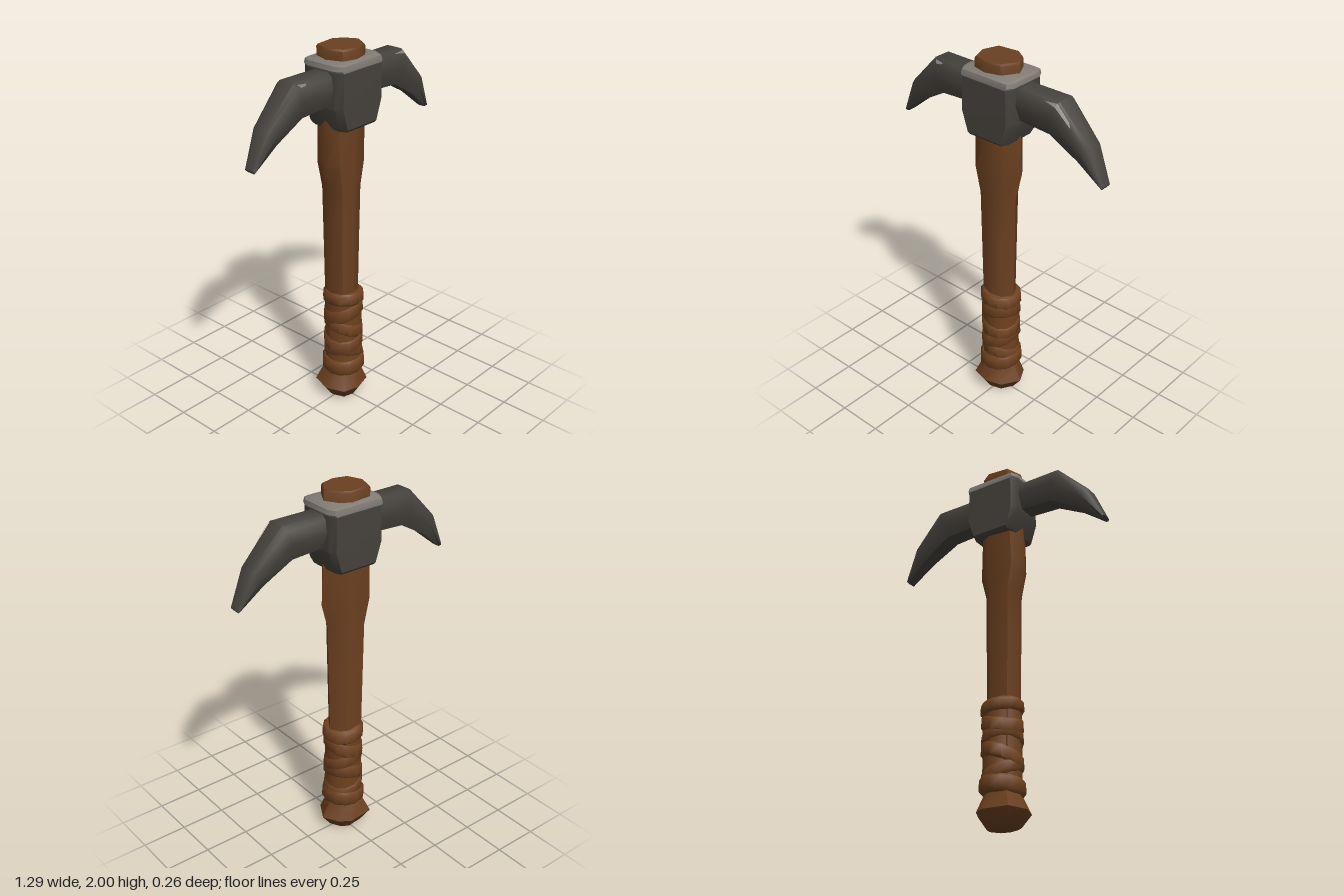
import * as THREE from 'three';
import { toCreasedNormals } from 'three/addons/utils/BufferGeometryUtils.js';

const mat = (name, color, side = THREE.FrontSide) => {
  const m = new THREE.MeshStandardMaterial({ color, side });
  m.name = name;
  return m;
};

// Skin a list of cross-sections (equal point counts) and cap both ends
function loft(rings, crease = 0.9) {
  const n = rings[0].length, pos = [], idx = [];
  rings.forEach(r => r.forEach(p => pos.push(p.x, p.y, p.z)));
  for (let k = 0; k < rings.length - 1; k++) {
    for (let i = 0; i < n; i++) {
      const j = (i + 1) % n, a = k * n, b = a + n;
      idx.push(a + i, a + j, b + j, a + i, b + j, b + i);
    }
  }
  const e = (rings.length - 1) * n;
  for (let i = 1; i < n - 1; i++) idx.push(0, i + 1, i, e, e + i, e + i + 1);
  const g = new THREE.BufferGeometry();
  g.setAttribute('position', new THREE.Float32BufferAttribute(pos, 3));
  g.setIndex(idx);
  return toCreasedNormals(g, crease);
}

// Horizontal ring: outline scaled by rx, rz, optionally tilted
const ring = (outline, y, rx, rz, tx = 0, tz = 0, cx = 0) =>
  outline.map(([x, z]) => new THREE.Vector3(cx + x * rx, y + x * tx + z * tz, z * rz));

// Outlines, running from +z towards +x
const CARVED = [[-0.1, 1], [0.6, 0.78], [1, 0], [0.68, -0.68], [0.25, -1], [-0.75, -0.87], [-1, 0], [-0.74, 0.8]];
const BLOCK = [[-0.87, 1], [0.87, 1], [1, 0.7], [1, -0.7], [0.87, -1], [-0.87, -1], [-1, -0.7], [-1, 0.7]];
const ROUND = Array.from({ length: 12 }, (_, i) => {
  const a = (i / 12) * Math.PI * 2;
  return [Math.sin(a), Math.cos(a)];
});

// Pick arm: [top x, top y, bottom x, bottom y, half thickness]
const ARM = [
  [0.1, 1.9, 0.1, 1.735, 0.078],
  [0.39, 1.9, 0.34, 1.722, 0.081],
  [0.565, 1.72, 0.5, 1.63, 0.062],
  [0.645, 1.54, 0.632, 1.522, 0.033],
];
const ARM_SECTION = [[1, 0.55], [0.88, 0.85], [0.5, 1], [0, 0.6], [0, -0.6], [0.5, -1], [0.88, -0.85], [1, -0.55]];
const armRing = ([xt, yt, xb, yb, hz]) => ARM_SECTION.map(([t, z]) =>
  new THREE.Vector3(xb + (xt - xb) * t, yb + (yt - yb) * t, z * hz));

export function createModel() {
  const model = new THREE.Group();
  model.name = 'pickaxe';
  const wood = mat('wood', 0x6b4020);
  const leather = mat('leather wrap', 0x6f421f);
  const iron = mat('dark iron', 0x46423d);
  const worn = mat('worn edge metal', 0x827c75, THREE.DoubleSide);
  const add = (name, geo, m, parent = model) => {
    const mesh = new THREE.Mesh(geo, m);
    mesh.name = name;
    parent.add(mesh);
    return mesh;
  };

  // Carved shaft, swelling below the head
  const shaft = [
    [0.14, 0.09, 0.08], [0.66, 0.092, 0.076], [1.0, 0.098, 0.08], [1.26, 0.102, 0.084],
    [1.4, 0.139, 0.09], [1.6, 0.131, 0.094], [1.9, 0.121, 0.102], [1.99, 0.121, 0.103], [2.0, 0.114, 0.098],
  ];
  add('shaft', loft(shaft.map(([y, rx, rz]) => ring(CARVED, y, rx, rz, 0, 0, -0.004))), wood);

  // Faceted pommel
  const pommel = [[0, 0.075, 0.062], [0.012, 0.092, 0.082], [0.08, 0.143, 0.126], [0.165, 0.1, 0.092]];
  add('pommel', loft(pommel.map(([y, rx, rz]) => ring(CARVED, y, rx, rz))), wood);

  // Grip: core and tilted straps [centre y, height, radius, tilt x, tilt z]
  const grip = new THREE.Group();
  grip.name = 'grip';
  model.add(grip);
  add('gripCore', loft([ring(ROUND, 0.18, 0.1, 0.1), ring(ROUND, 0.64, 0.1, 0.1)]), leather, grip);
  const straps = [
    [0.21, 0.085, 0.118, 0.008, -0.004], [0.285, 0.08, 0.108, -0.03, 0.02],
    [0.365, 0.085, 0.109, 0.03, -0.02], [0.45, 0.08, 0.108, -0.025, -0.025],
    [0.535, 0.09, 0.108, 0.025, 0.02], [0.62, 0.07, 0.112, -0.008, 0.005],
  ];
  straps.forEach(([y, h, r, tx, tz], i) => {
    const prof = [[-0.5, r - 0.012], [-0.32, r], [0.32, r - 0.002], [0.5, r - 0.012]];
    add('strap' + (i + 1), loft(prof.map(([t, q]) => ring(ROUND, y + t * h, q, q, tx, tz))), leather, grip);
  });

  // Head block with tapered lower cheeks
  const head = new THREE.Group();
  head.name = 'head';
  model.add(head);
  const block = [[1.6, 0.117, 0.115], [1.613, 0.122, 0.125], [1.72, 0.16, 0.127], [1.91, 0.156, 0.126]];
  add('headBlock', loft(block.map(([y, rx, rz]) => ring(BLOCK, y, rx, rz)), 0.5), iron, head);

  // Worn rim on top of the block
  const rim = [[1.902, 0.156, 0.127], [1.912, 0.163, 0.128], [1.935, 0.159, 0.123], [1.945, 0.148, 0.108]];
  add('headRim', loft(rim.map(([y, rx, rz]) => ring(BLOCK, y, rx, rz)), 0.6), worn, head);

  // Mirrored pick arms with worn patches on the upper front edge
  const rings = ARM.map(armRing);
  const lift = new THREE.Vector3(0, 0.002, 0.003);
  const edge = (k, t, s) => {
    const at = i => rings[k][i].clone().lerp(rings[k + 1][i], t);
    return at(0).lerp(at(1), s).add(lift);
  };
  const patches = {
    left: [[edge(0, 0.75, 0.6), edge(0, 1, 0.35)], [edge(0, 1, 1), edge(1, 0, 0.35)],
      [edge(1, 0.5, 0.95), edge(1, 0.4, 0.5)]],
    right: [[edge(0, 0.78, 0.6), edge(0, 0.82, 0.9)], [edge(0, 0.97, 0.35), edge(0, 0.93, 1)]],
  };
  for (const [side, s] of [['left', 1], ['right', -1]]) {
    const flip = v => new THREE.Vector3(v.x * s, v.y, v.z);
    const sided = rings.map(r => {
      const m = r.map(flip);
      return s < 0 ? m.reverse() : m;
    });
    add(side + 'Arm', loft(sided), iron, head);

    const pts = patches[side].flat().map(flip), idx = [];
    for (let i = 0; i + 3 < pts.length; i += 2) idx.push(i, i + 1, i + 2, i + 1, i + 3, i + 2);
    const g = new THREE.BufferGeometry().setFromPoints(pts);
    g.setIndex(idx);
    g.computeVertexNormals();
    // Keep patch normals facing outwards
    if (g.attributes.normal.getZ(0) < 0) {
      g.setIndex(idx.reverse());
      g.computeVertexNormals();
    }
    add(side + 'WornPatch', g, worn, head);
  }
  return model;
}
